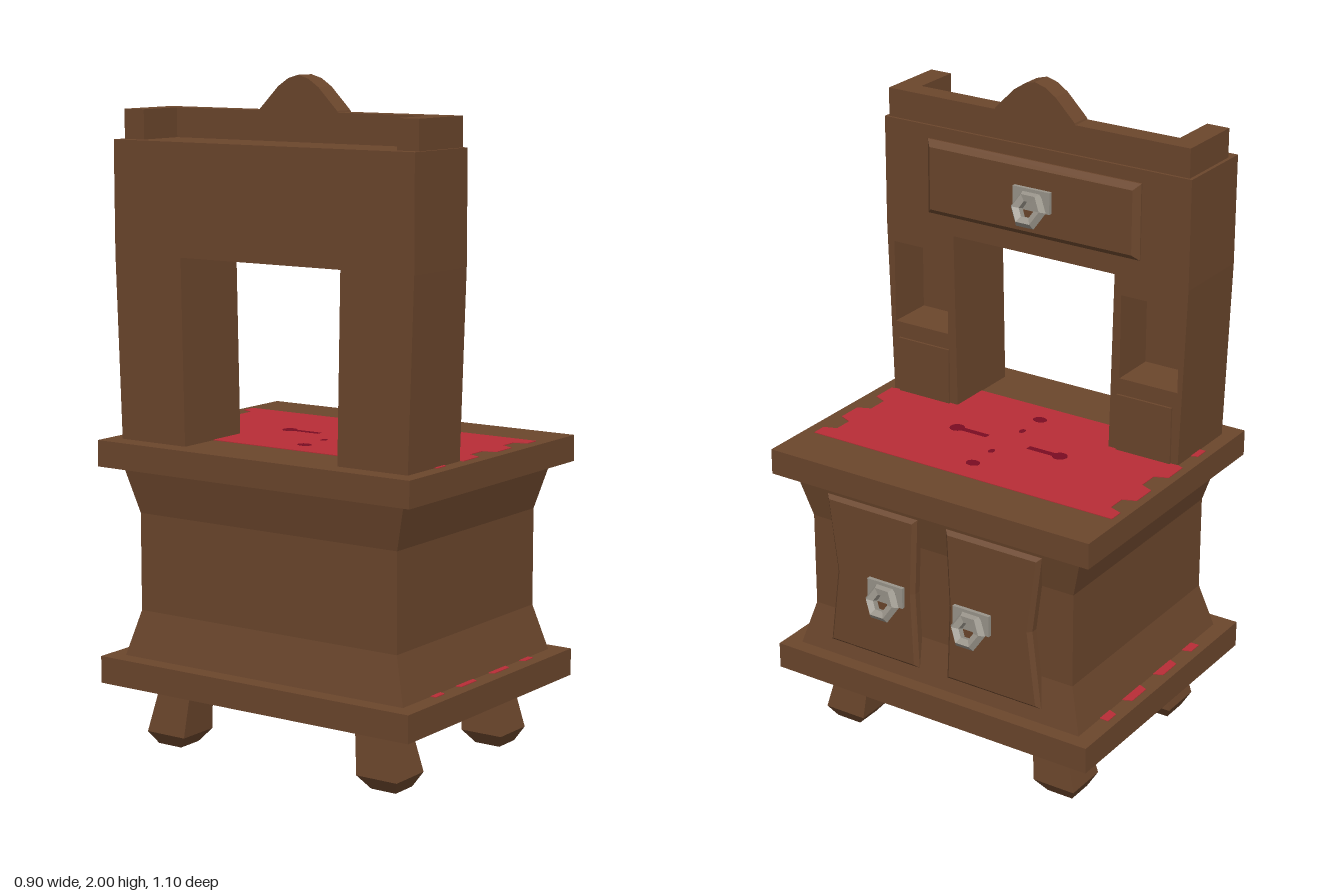
import * as THREE from 'three';

const material = (name, color) => {
  const m = new THREE.MeshStandardMaterial({ color });
  m.name = name;
  return m;
};

export function createModel() {
  const wood = material('brown wood', 0x6b462c);
  const red = material('red cloth', 0xb82d36);
  const darkRed = material('dark red pattern', 0x7a0c22);
  const metal = material('grey metal', 0x99948a);
  metal.flatShading = true;

  const root = new THREE.Group();
  root.name = 'cabinet';
  const add = (name, geometry, mat, parent = root) => {
    const mesh = new THREE.Mesh(geometry, mat);
    mesh.name = name;
    parent.add(mesh);
    return mesh;
  };
  const box = (name, x0, x1, y0, y1, z0, z1, mat = wood, parent = root) => {
    const g = new THREE.BoxGeometry(x1 - x0, y1 - y0, z1 - z0);
    g.translate((x0 + x1) / 2, (y0 + y1) / 2, (z0 + z1) / 2);
    return add(name, g, mat, parent);
  };

  // Stack of rectangles [y, centreX, centreZ, halfX, halfZ], bottom to top
  const loft = (sections) => {
    const rings = sections.map(([y, cx, cz, hx, hz]) =>
      [[-1, 1], [1, 1], [1, -1], [-1, -1]].map(([a, b]) => [cx + a * hx, y, cz + b * hz]));
    const p = [];
    const quad = (a, b, c, d) => p.push(...a, ...b, ...c, ...a, ...c, ...d);
    for (let i = 0; i + 1 < rings.length; i++) {
      for (let j = 0; j < 4; j++) {
        const k = (j + 1) % 4;
        quad(rings[i][j], rings[i][k], rings[i + 1][k], rings[i + 1][j]);
      }
    }
    quad(...rings[rings.length - 1]);
    quad(...[...rings[0]].reverse());
    const g = new THREE.BufferGeometry();
    g.setAttribute('position', new THREE.Float32BufferAttribute(p, 3));
    g.computeVertexNormals();
    return g;
  };

  const outline = (pts) => new THREE.Shape(pts.map(([a, b]) => new THREE.Vector2(a, b)));
  const rect = (a0, a1, b0, b1) => outline([[a0, b0], [a1, b0], [a1, b1], [a0, b1]]);

  // Outline in (-z, y), extruded from x0 to x1, optionally with a bevelled rim
  const panel = (name, shape, x0, x1, bevel = 0) => {
    const g = new THREE.ExtrudeGeometry(shape, {
      depth: x1 - x0 - bevel, bevelEnabled: bevel > 0, bevelThickness: bevel,
      bevelSize: bevel, bevelOffset: -bevel, bevelSegments: 1, curveSegments: 8,
    });
    g.rotateY(Math.PI / 2);
    g.translate(x0, 0, 0);
    return add(name, g, wood);
  };

  // Lower cabinet: slabs and waisted body
  box('bottomSlab', -0.45, 0.435, 0.195, 0.277, -0.55, 0.55);
  box('topSlab', -0.45, 0.435, 0.852, 0.931, -0.55, 0.55);
  add('body', loft([
    [0.275, -0.004, 0, 0.394, 0.498],
    [0.415, -0.004, 0, 0.365, 0.457],
    [0.71, -0.004, 0, 0.365, 0.457],
    [0.855, -0.004, 0, 0.394, 0.498],
  ]), wood);

  // Four splayed legs
  for (const cx of [-0.288, 0.268]) {
    for (const s of [-1, 1]) {
      add('leg', loft([
        [0, cx, s * 0.387, 0.042, 0.042],
        [0.04, cx, s * 0.381, 0.069, 0.069],
        [0.2, cx, s * 0.352, 0.053, 0.056],
      ]), wood);
    }
  }

  // Doors, narrower at mid height
  for (const [outer, waist, inner, innerWaist] of [
    [-0.386, -0.355, -0.063, -0.074], [0.365, 0.334, 0.037, 0.048],
  ]) {
    const pts = [[outer, 0.32], [inner, 0.32], [innerWaist, 0.565], [inner, 0.81], [outer, 0.81], [waist, 0.565]];
    panel('door', outline(outer < 0 ? pts : pts.reverse()), 0.355, 0.394, 0.012);
  }

  // Hutch: solid back layer and front layer with two cubby holes
  const hutch = () => outline([
    [-0.505, 0.93], [-0.27, 0.93], [-0.28, 1.48], [0.28, 1.48], [0.27, 0.93],
    [0.505, 0.93], [0.523, 1.48], [0.523, 1.81], [-0.523, 1.81], [-0.523, 1.48],
  ]);
  panel('hutchBack', hutch(), -0.39, -0.275);
  const front = hutch();
  for (const s of [-1, 1]) {
    front.holes.push(rect(s * 0.4 - 0.097, s * 0.4 + 0.097, 1.16, 1.42));
    panel('smallDrawer', rect(s * 0.39 - 0.092, s * 0.39 + 0.092, 0.931, 1.11), -0.14, -0.12);
  }
  panel('hutchFront', front, -0.275, -0.127);
  panel('wideDrawer', rect(-0.365, 0.365, 1.54, 1.77), -0.14, -0.104, 0.018);

  // Crown rail open at the back, with a rounded peak
  box('crownFront', -0.2, -0.135, 1.81, 1.897, -0.512, 0.512);
  for (const s of [-1, 1]) {
    const z = s * 0.476;
    box('crownSide', -0.353, -0.2, 1.81, 1.897, z - 0.036, z + 0.036);
  }
  panel('crownPeak', outline([
    [-0.14, 1.89], [0.14, 1.89], [0.135, 1.902], [0.07, 1.967], [0.035, 1.99], [0, 2],
    [-0.035, 1.99], [-0.07, 1.967], [-0.135, 1.902],
  ]), -0.2, -0.135);

  // Pulls: mounting plate with a tilted six-sided ring
  const pull = (x, y, z) => {
    const g = new THREE.Group();
    g.name = 'pull';
    g.position.set(x, y, z);
    box('pullPlate', -0.015, 0.012, -0.008, 0.058, -0.063, 0.063, metal, g);
    const ring = new THREE.TorusGeometry(0.041, 0.019, 5, 6);
    ring.rotateY(Math.PI / 2);
    ring.rotateZ(0.35);
    ring.translate(0.026, 0, 0);
    add('pullRing', ring, metal, g);
    root.add(g);
  };
  pull(0.394, 0.525, 0.168);
  pull(0.394, 0.525, -0.137);
  pull(-0.104, 1.637, -0.016);

  // Cloths with tabbed ends, one on each slab
  const flat = (name, shape, y, h, mat) => {
    const g = new THREE.ExtrudeGeometry(shape, { depth: h, bevelEnabled: false, curveSegments: 10 });
    g.rotateX(-Math.PI / 2);
    g.translate(0.0075, y, -0.005);
    return add(name, g, mat);
  };
  const edge = [[-0.265, 0.52], [-0.22, 0.52], [-0.205, 0.48], [-0.145, 0.48], [-0.128, 0.52],
    [-0.05, 0.52], [-0.033, 0.48], [0.033, 0.48], [0.05, 0.52], [0.128, 0.52], [0.145, 0.48],
    [0.205, 0.48], [0.22, 0.52], [0.265, 0.52]];
  const clothPts = [...edge.map(([a, b]) => [a, -b]), ...[...edge].reverse()];
  for (const y of [0.275, 0.929]) flat('cloth', outline(clothPts), y, 0.004, red);

  // Pattern on the upper cloth
  const dot = (a, b, r, ry = r) => {
    const s = new THREE.Shape();
    s.absellipse(a, b, r, ry, 0, Math.PI * 2);
    flat('patternDot', s, 0.932, 0.002, darkRed);
  };
  for (const s of [-1, 1]) {
    dot(0.003, s * 0.182, 0.023);
    flat('patternBar', rect(-0.007, 0.013, s * 0.118 - 0.046, s * 0.118 + 0.046), 0.932, 0.0015, darkRed);
    dot(s * 0.18, -0.005, 0.018, 0.022);
    dot(s * 0.083, -0.005, 0.013, 0.009);
  }
  return root;
}
